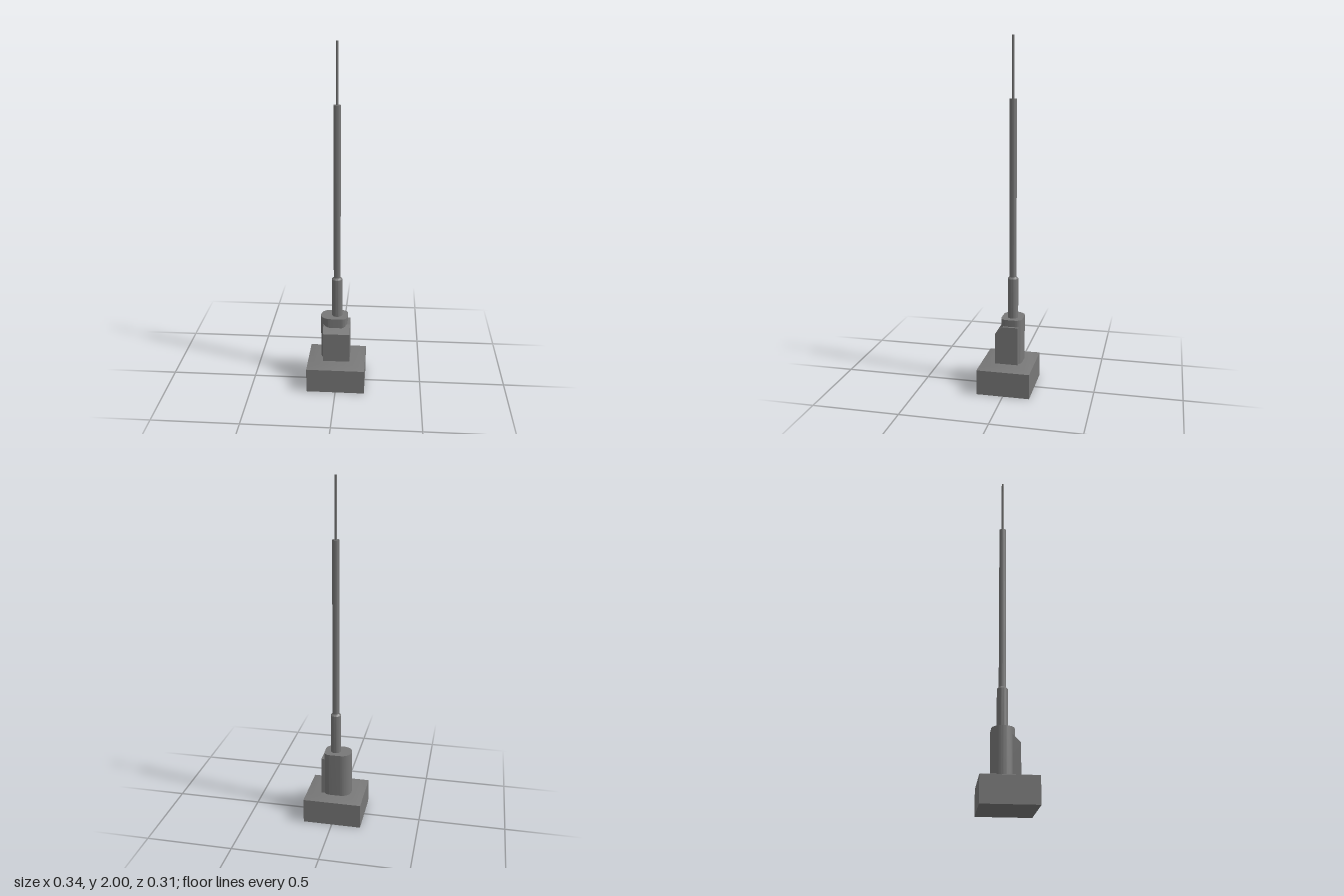
import * as THREE from 'three';
import { toCreasedNormals } from 'three/addons/utils/BufferGeometryUtils.js';

const AXIS_Z = -0.024; // mast axis

export function createModel() {
  const model = new THREE.Group();
  const grey = new THREE.MeshStandardMaterial({ color: 0x787878 });
  grey.name = 'grey';

  const add = (name, geometry, x = 0, y = 0, z = 0) => {
    const mesh = new THREE.Mesh(toCreasedNormals(geometry, 0.5), grey);
    mesh.name = name;
    mesh.position.set(x, y, z);
    model.add(mesh);
  };

  // plinth, and its shallow hipped top: a box with the upper corners pulled in
  add('plinth', new THREE.BoxGeometry(0.338, 0.145, 0.305), 0, 0.0725, 0);
  const cap = new THREE.BoxGeometry(0.338, 0.013, 0.305);
  const p = cap.attributes.position;
  for (let i = 0; i < p.count; i++) {
    if (p.getY(i) > 0) {
      p.setX(i, Math.sign(p.getX(i)) * 0.124);
      p.setZ(i, Math.sign(p.getZ(i)) * 0.106);
    }
  }
  add('plinthTop', cap, 0, 0.1515, 0);

  // block with a sloped front shoulder, side profile (z, y) extruded along x
  const side = new THREE.Shape([
    [0.066, 0.15], [0.066, 0.335], [0.02, 0.381], [-0.068, 0.381], [-0.068, 0.15],
  ].map(([z, y]) => new THREE.Vector2(-z, y)));
  const block = new THREE.ExtrudeGeometry(side, { depth: 0.156, bevelEnabled: false });
  block.rotateY(Math.PI / 2);
  add('block', block, -0.078, 0, 0);

  // rounded tower, plan (x, -z) extruded upwards, rounder on the right-hand side
  const x0 = -0.095, x1 = 0.063, y0 = -0.038, y1 = 0.085, rl = 0.058, rr = 0.036;
  const plan = new THREE.Shape();
  plan.moveTo(x0 + rl, y0);
  plan.absarc(x1 - rr, y0 + rr, rr, -Math.PI / 2, 0);
  plan.absarc(x1 - rr, y1 - rr, rr, 0, Math.PI / 2);
  plan.absarc(x0 + rl, y1 - rl, rl, Math.PI / 2, Math.PI);
  plan.absarc(x0 + rl, y0 + rl, rl, Math.PI, Math.PI * 1.5);
  const tower = new THREE.ExtrudeGeometry(plan, { depth: 0.27, bevelEnabled: false, curveSegments: 12 });
  tower.rotateX(-Math.PI / 2);
  add('tower', tower, 0, 0.15, 0);

  // stepped mast: chamfered sleeve, pole and thin tip
  const turned = (name, points) => add(name,
    new THREE.LatheGeometry(points.map(([r, y]) => new THREE.Vector2(r, y)), 32), 0, 0, AXIS_Z);
  turned('sleeve', [[0.03, 0.415], [0.03, 0.652], [0.02, 0.662], [0, 0.662]]);
  turned('pole', [[0.02, 0.655], [0.02, 1.665], [0, 1.665]]);
  turned('tip', [[0.007, 1.66], [0.007, 2], [0, 2]]);

  return model;
}
